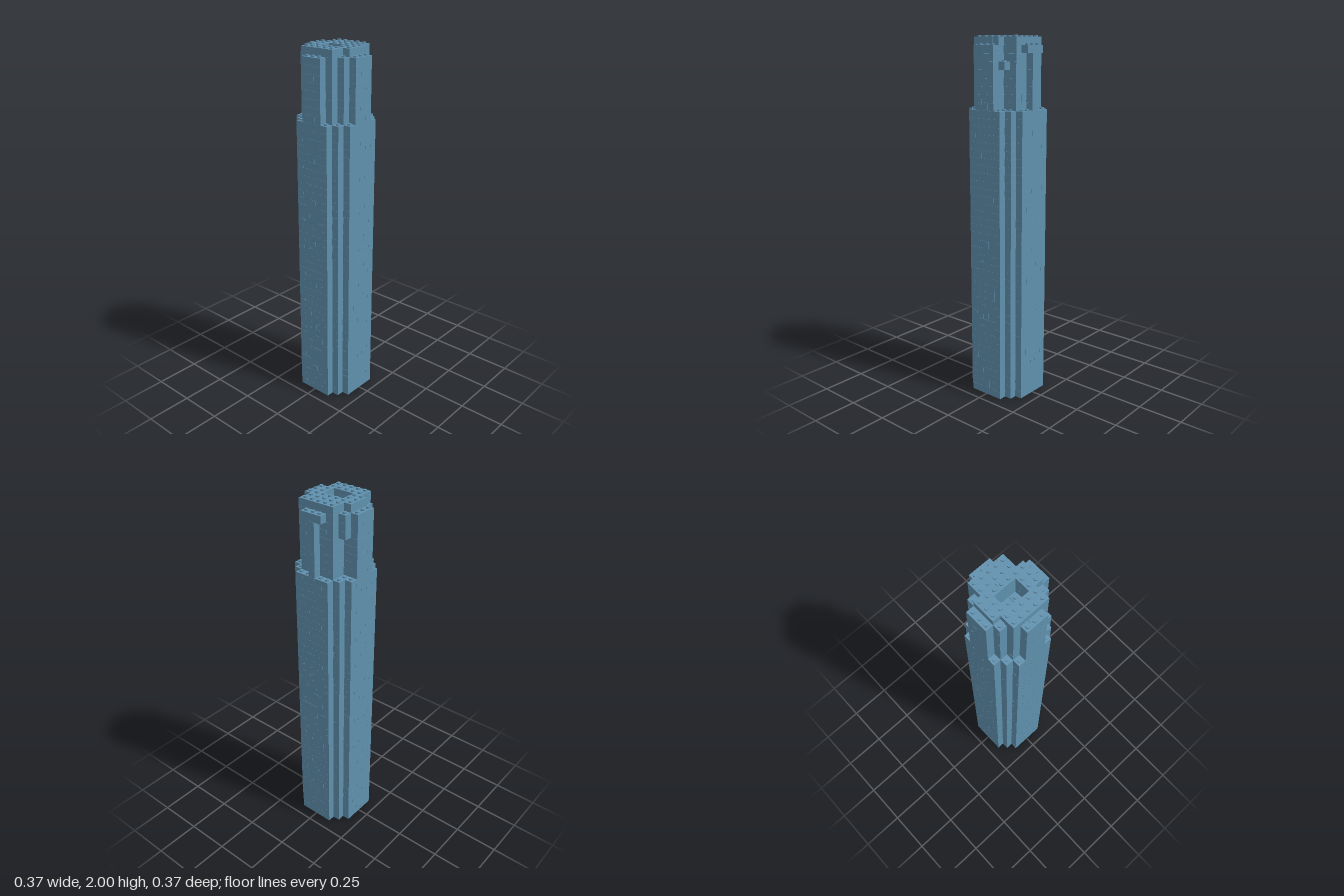
import * as THREE from 'three';
import { mergeGeometries } from 'three/addons/utils/BufferGeometryUtils.js';

const P = 0.0416;      // stud pitch
const H = 0.0415;      // brick height
const LAYERS = 48, SHOULDER = 39;
const STUD_R = 0.0105, STUD_H = 0.008, GAP = 0.0004;

// Is there a brick in cell (x, z) of layer k? Cells run from -4 to 4.
function filled(k, x, z) {
  const ax = Math.abs(x), az = Math.abs(z);
  if (k < 0 || k >= LAYERS || ax > 4 || az > 4) return false;
  // main shaft: square with stepped corners
  if (k < SHOULDER) return ax + az <= 6 && !(ax === 4 && az > 2) && !(az === 4 && ax > 2);
  // open well in the roof
  if (k >= 45 && (x === -1 || x === 0) && az <= 1) return false;
  // roof cap
  if (k === LAYERS - 1) return (ax <= 3 && az <= 2) || (ax <= 1 && az === 3);
  // recessed corners and thin rib on the left side of the crown
  if (x === 4) return z === 0 || (k === 46 && az === 1);
  if (x === 2 && az === 3) return z > 0 ? k === 44 : k >= 44;
  return ax + az <= 5;
}

// Splits one layer into rows of bricks, turning the bond on every other layer
function layerBricks(k) {
  const out = [];
  const alongX = k % 2 === 0;
  const has = (run, row) => alongX ? filled(k, run, row) : filled(k, row, run);
  for (let row = -4; row <= 4; row++) {
    let start = null;
    for (let run = -4; run <= 5; run++) {
      const here = has(run, row);
      const joint = (run + row + k + 20) % 4 === 0;
      if (start !== null && (!here || joint)) {
        const len = (run - start) * P - GAP, mid = (start + run - 1) / 2 * P;
        const g = new THREE.BoxGeometry(alongX ? len : P - GAP, H - GAP, alongX ? P - GAP : len);
        g.translate(alongX ? mid : row * P, (k + 0.5) * H, alongX ? row * P : mid);
        out.push(g);
        start = null;
      }
      if (here && start === null) start = run;
    }
  }
  return out;
}

// Round studs wherever nothing sits on top
function layerStuds(k) {
  const out = [];
  for (let x = -4; x <= 4; x++) for (let z = -4; z <= 4; z++) {
    if (!filled(k, x, z) || filled(k + 1, x, z)) continue;
    const g = new THREE.CylinderGeometry(STUD_R, STUD_R, STUD_H, 16);
    g.translate(x * P, (k + 1) * H + STUD_H / 2 - GAP / 2, z * P);
    out.push(g);
  }
  return out;
}

export function createModel() {
  const group = new THREE.Group();
  group.name = 'brickTower';
  const blue = new THREE.MeshStandardMaterial({ color: 0x6090ae });
  blue.name = 'sandBlue';

  const sections = [['shaft', 0, SHOULDER], ['crown', SHOULDER, LAYERS - 1], ['roofCap', LAYERS - 1, LAYERS]];
  for (const [name, from, to] of sections) {
    const bricks = [], studs = [];
    for (let k = from; k < to; k++) {
      bricks.push(...layerBricks(k));
      studs.push(...layerStuds(k));
    }
    for (const [part, list] of [['Bricks', bricks], ['Studs', studs]]) {
      if (!list.length) continue;
      const mesh = new THREE.Mesh(mergeGeometries(list), blue);
      mesh.name = name + part;
      group.add(mesh);
    }
  }
  return group;
}
